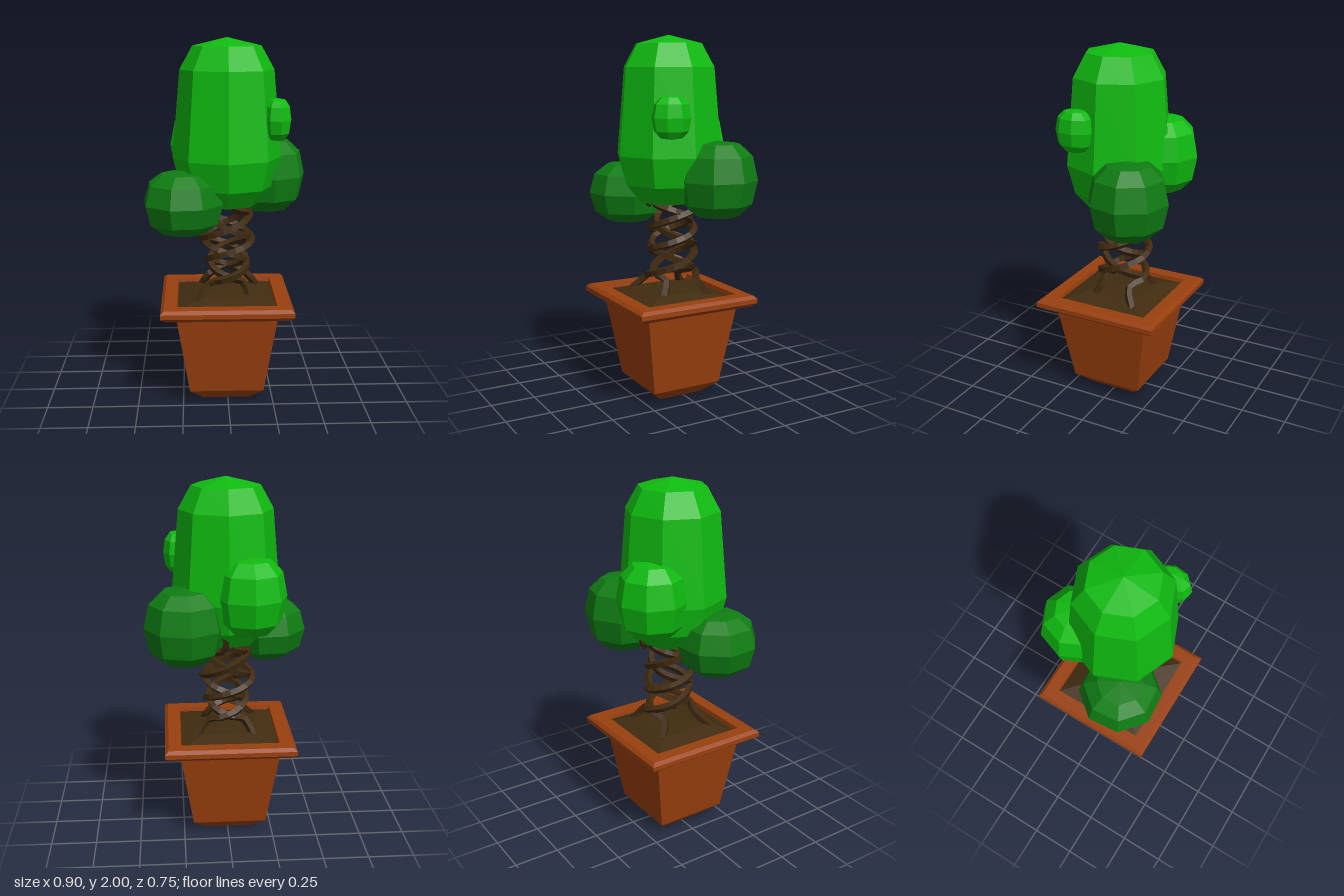
import * as THREE from 'three';

const paint = (name, color) => {
  const m = new THREE.MeshStandardMaterial({ color });
  m.name = name;
  return m;
};

// Faceted mesh: every face gets its own normal
function facet(geometry, material, name) {
  const g = geometry.toNonIndexed();
  g.computeVertexNormals();
  const mesh = new THREE.Mesh(g, material);
  mesh.name = name;
  return mesh;
}

// Profile of [radius, y] pairs, bottom to top, turned around y
function turned(profile, sides, phase = 0) {
  return new THREE.LatheGeometry(profile.map(([r, y]) => new THREE.Vector2(r, y)), sides, phase);
}

// Square cross-sections given by [half width, y]
const squared = (profile) => turned(profile.map(([h, y]) => [h * Math.SQRT2, y]), 4, Math.PI / 4);

export function createModel() {
  const model = new THREE.Group();
  model.name = 'pottedTopiary';

  const brightLeaf = paint('bright leaf green', 0x0fbb10);
  const darkLeaf = paint('dark leaf green', 0x0f7d13);
  const terracotta = paint('terracotta', 0x99400e);
  const soilBrown = paint('soil brown', 0x402c10);
  const bark = paint('bark brown', 0x402a10);

  // Square pot with chamfered foot and overhanging rim
  const pot = facet(squared([
    [0, 0], [0.13, 0], [0.205, 0.07], [0.275, 0.52], [0.325, 0.52],
    [0.358, 0.545], [0.358, 0.57], [0.34, 0.587], [0.27, 0.587], [0.265, 0.55],
  ]), terracotta, 'pot');
  pot.position.set(-0.008, 0, 0.016);
  model.add(pot);

  // Slightly mounded soil
  const soil = facet(squared([[0.27, 0.562], [0.15, 0.598], [0, 0.607]]), soilBrown, 'soil');
  soil.position.copy(pot.position);
  model.add(soil);

  // Twisted stems: splayed foot, coil, then spreading into the crown
  const trunk = new THREE.Group();
  trunk.name = 'trunk';
  const stems = [
    { foot: [0.18, -0.14], spin: 1, radius: 0.135 },
    { foot: [0.13, 0.13], spin: -1, radius: 0.115 },
    { foot: [-0.15, -0.14], spin: -1, radius: 0.12 },
    { foot: [-0.17, 0.19], spin: 1, radius: 0.14 },
  ];
  stems.forEach(({ foot, spin, radius }, i) => {
    const start = Math.atan2(foot[0], foot[1]);
    const path = [new THREE.Vector3(foot[0], 0.57, foot[1])];
    for (let k = 0; k <= 14; k++) {
      const t = k / 14;
      const a = start + spin * t * Math.PI * 3.2;
      const r = radius * (0.93 + 0.12 * Math.cos(t * Math.PI * 4));
      path.push(new THREE.Vector3(Math.sin(a) * r, 0.665 + 0.43 * t, Math.cos(a) * r));
    }
    const end = path[path.length - 1];
    path.push(new THREE.Vector3(end.x * 1.3, 1.2, end.z * 1.3));
    const curve = new THREE.CatmullRomCurve3(path);
    trunk.add(facet(new THREE.TubeGeometry(curve, 36, 0.022, 4), bark, 'stem' + (i + 1)));
  });
  model.add(trunk);

  // Tall main crown, eight-sided
  const crown = facet(turned([
    [0, 1.08], [0.17, 1.1], [0.255, 1.2], [0.297, 1.36],
    [0.255, 1.83], [0.185, 1.955], [0, 2],
  ], 8), brightLeaf, 'mainCrown');
  crown.position.z = 0.025;
  model.add(crown);

  // Rounded foliage clumps around the crown
  const clumpProfile = [[0, -1], [0.55, -0.93], [0.87, -0.62], [1, 0], [0.87, 0.62], [0.55, 0.93], [0, 1]];
  const clumps = [
    ['rightClump', darkLeaf, [-0.24, 1.13, 0.155], [0.222, 0.172, 0.222], -0.3],
    ['leftClump', darkLeaf, [0.232, 1.232, -0.145], [0.22, 0.21, 0.22], 0.15],
    ['backClump', brightLeaf, [-0.118, 1.4, -0.18], [0.195, 0.21, 0.195], 0.05],
    ['smallClump', brightLeaf, [0.26, 1.575, 0.15], [0.08, 0.113, 0.112], 0.2],
  ];
  for (const [name, material, position, scale, turn] of clumps) {
    const g = turned(clumpProfile, 8).rotateY(turn).scale(...scale);
    const clump = facet(g, material, name);
    clump.position.set(...position);
    model.add(clump);
  }

  return model;
}
